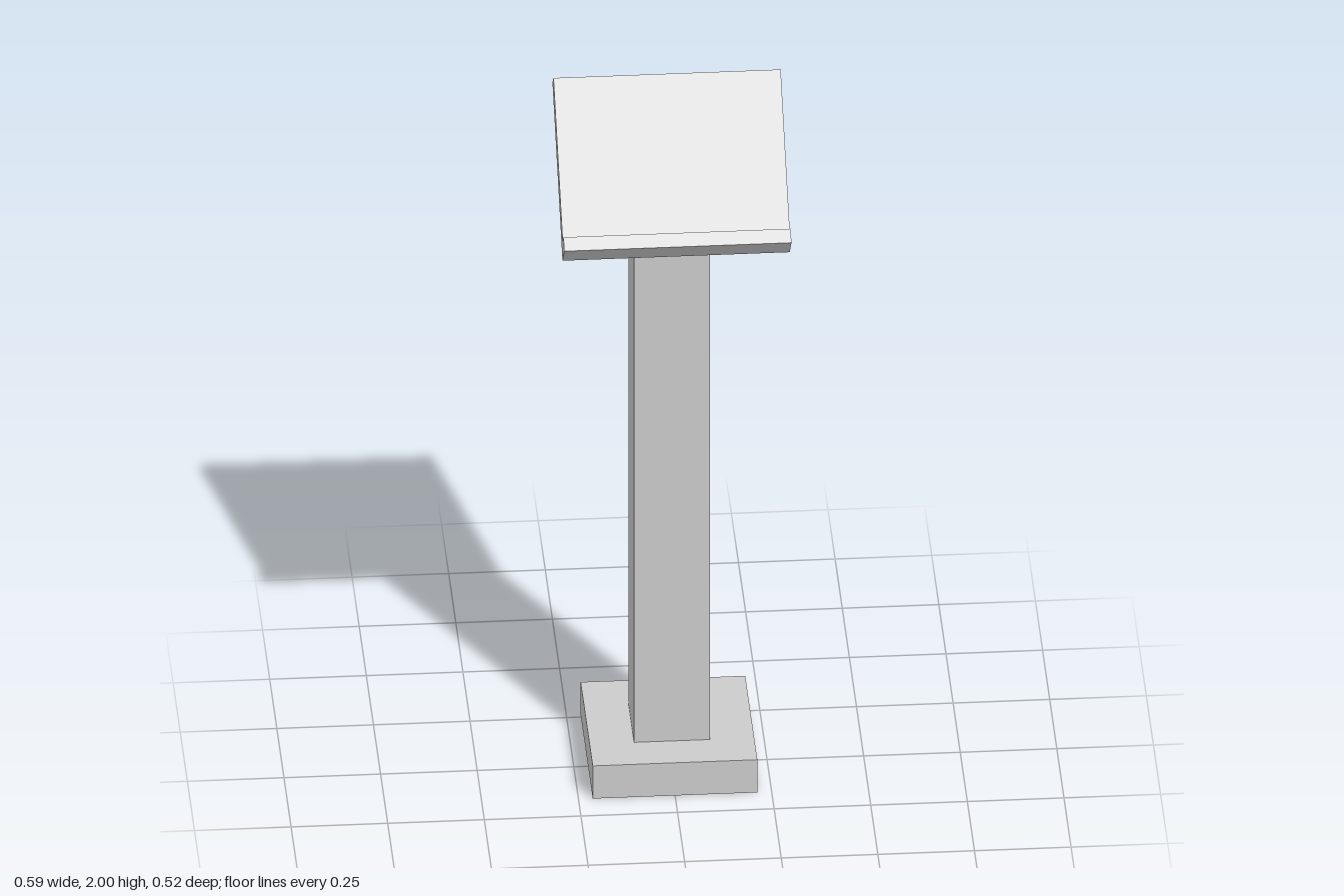
import * as THREE from 'three';

const material = new THREE.MeshStandardMaterial({ color: 0xcccccc, flatShading: true });

// Extrudes a side profile of [z, y] points across the width, centred on x = 0
function sideExtrusion(name, width, profile) {
  const shape = new THREE.Shape(profile.map(([z, y]) => new THREE.Vector2(z, y)));
  const geometry = new THREE.ExtrudeGeometry(shape, { depth: width, bevelEnabled: false });
  geometry.translate(0, 0, -width / 2);
  geometry.rotateY(-Math.PI / 2);
  const mesh = new THREE.Mesh(geometry, material);
  mesh.name = name;
  return mesh;
}

export function createModel() {
  const group = new THREE.Group();
  group.name = 'lectern';

  // Square foot
  const base = new THREE.Mesh(new THREE.BoxGeometry(0.426, 0.098, 0.426), material);
  base.name = 'base';
  base.position.set(0, 0.049, -0.049);
  group.add(base);

  // Square post, cut at a slant to meet the underside of the desk
  group.add(sideExtrusion('post', 0.196, [
    [0.053, 0.098], [0.053, 1.776], [-0.15, 1.965], [-0.15, 0.098],
  ]));

  // Sloping desk with a ledge along its lower edge
  group.add(sideExtrusion('desk', 0.588, [
    [0.2, 1.638], [0.262, 1.703], [0.235, 1.729], [0.207, 1.7],
    [-0.115, 2], [-0.15, 1.965],
  ]));

  return group;
}
